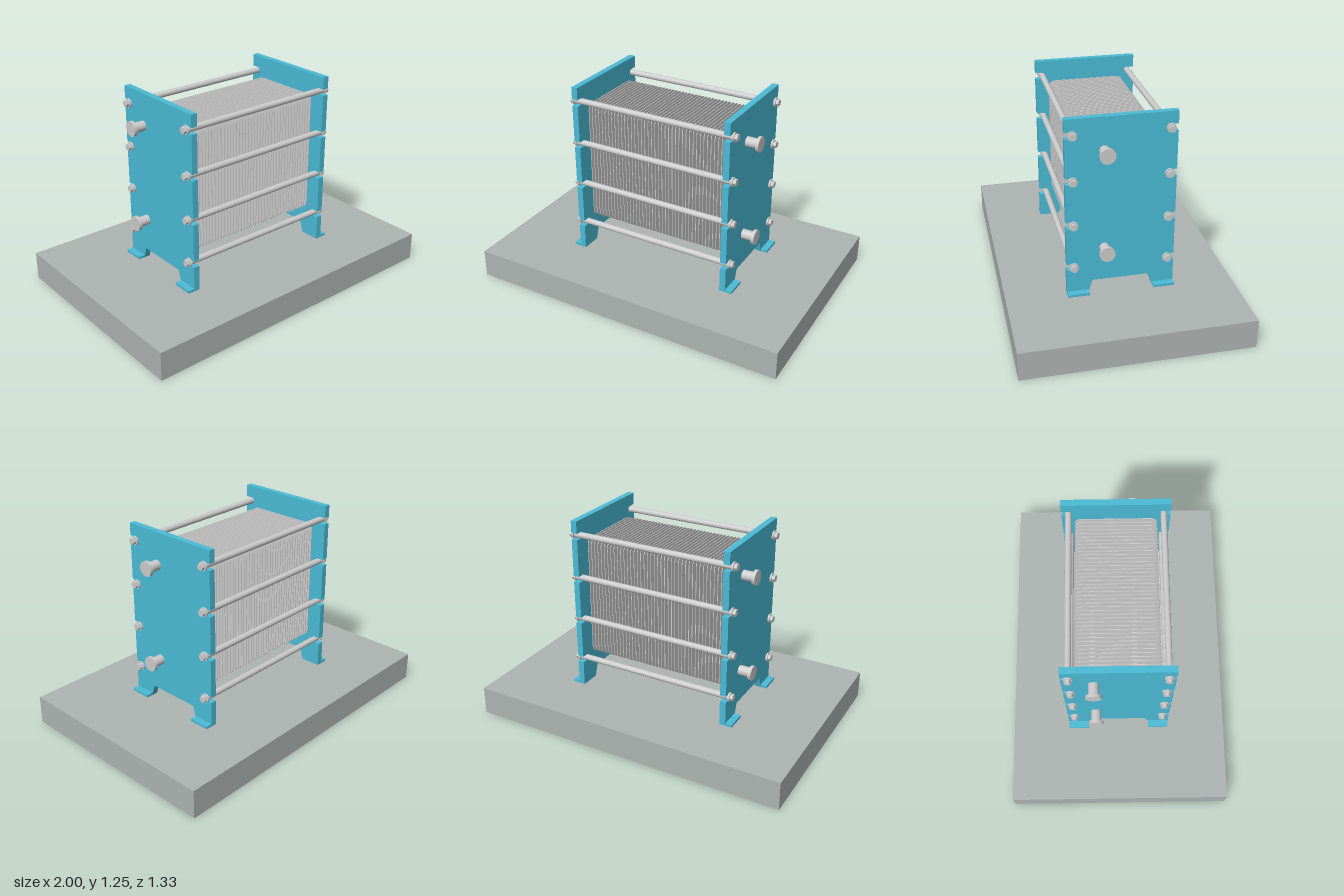
import * as THREE from 'three';

const steel = new THREE.MeshStandardMaterial({ color: 0xcccccc });
const paint = new THREE.MeshStandardMaterial({ color: 0x4abbd6 });
const concrete = new THREE.MeshStandardMaterial({ color: 0xadb4b2 });

const BOLT_Y = [0.35, 0.62, 0.89, 1.16], BOLT_Z = 0.273;
const BASE_H = 0.175, HALF_W = 0.315, TOP = 1.255;
const INNER = 0.473, OUTER = 0.511;

function add(parent, name, geometry, material, x = 0, y = 0, z = 0) {
  const mesh = new THREE.Mesh(geometry, material);
  mesh.name = name;
  mesh.position.set(x, y, z);
  parent.add(mesh);
  return mesh;
}

// Cylinder along x from x0 to x1
function barX(parent, name, r, x0, x1, y, z, sides = 32) {
  const g = new THREE.CylinderGeometry(r, r, Math.abs(x1 - x0), sides).rotateZ(Math.PI / 2);
  return add(parent, name, g, steel, (x0 + x1) / 2, y, z);
}

// Shape drawn in (z, y), extruded along x and centred on x = 0
function slabX(shape, depth) {
  return new THREE.ExtrudeGeometry(shape, { depth, bevelEnabled: false, curveSegments: 10 })
    .translate(0, 0, -depth / 2).rotateY(Math.PI / 2);
}

// End plate outline: open bolt slots on both edges and a gap between the feet
function endPlateShape() {
  const s = new THREE.Shape(), r = 0.02;
  s.moveTo(0.19, BASE_H);
  s.lineTo(HALF_W, BASE_H);
  for (const y of BOLT_Y) {
    s.lineTo(HALF_W, y - r);
    s.lineTo(BOLT_Z, y - r);
    s.absarc(BOLT_Z, y, r, -Math.PI / 2, Math.PI / 2, true);
    s.lineTo(HALF_W, y + r);
  }
  s.lineTo(HALF_W, TOP);
  s.lineTo(-HALF_W, TOP);
  for (const y of [...BOLT_Y].reverse()) {
    s.lineTo(-HALF_W, y + r);
    s.lineTo(-BOLT_Z, y + r);
    s.absarc(-BOLT_Z, y, r, Math.PI / 2, -Math.PI / 2, true);
    s.lineTo(-HALF_W, y - r);
  }
  s.lineTo(-HALF_W, BASE_H);
  s.lineTo(-0.19, BASE_H);
  s.lineTo(-0.165, 0.25);
  s.lineTo(0.165, 0.25);
  s.closePath();
  return s;
}

// Rounded rectangle of one thin exchanger plate
function thinPlateShape() {
  const w = 0.238, y0 = 0.375, y1 = 1.132, r = 0.04, s = new THREE.Shape();
  s.absarc(w - r, y0 + r, r, -Math.PI / 2, 0);
  s.absarc(w - r, y1 - r, r, 0, Math.PI / 2);
  s.absarc(-w + r, y1 - r, r, Math.PI / 2, Math.PI);
  s.absarc(-w + r, y0 + r, r, Math.PI, Math.PI * 1.5);
  s.closePath();
  return s;
}

export function createModel() {
  const model = new THREE.Group();
  model.name = 'plateHeatExchanger';
  add(model, 'base', new THREE.BoxGeometry(2, BASE_H, 1.334), concrete, 0, BASE_H / 2, 0);

  const unit = new THREE.Group();
  unit.name = 'exchanger';
  unit.position.set(0.003, 0, -0.003);
  model.add(unit);

  // End plates with outward feet
  const endGeo = slabX(endPlateShape(), OUTER - INNER);
  const footGeo = new THREE.BoxGeometry(0.041, 0.016, 0.125);
  for (const side of [-1, 1]) {
    add(unit, 'endPlate', endGeo, paint, side * (INNER + OUTER) / 2);
    for (const z of [-0.2525, 0.2525])
      add(unit, 'foot', footGeo, paint, side * (OUTER + 0.0205), BASE_H + 0.008, z);
  }

  // Stack of thin plates
  const plateGeo = slabX(thinPlateShape(), 0.004);
  for (let i = 0; i < 41; i++)
    add(unit, 'thinPlate', plateGeo, steel, -0.45 + i * 0.0225);

  // Tie rods with washers and hex nuts
  for (const y of BOLT_Y) for (const z of [-BOLT_Z, BOLT_Z]) {
    barX(unit, 'tieRod', 0.0185, -0.52, 0.52, y, z, 24);
    for (const side of [-1, 1]) {
      barX(unit, 'washer', 0.027, side * OUTER, side * 0.522, y, z);
      const nut = barX(unit, 'nut', 0.021, side * 0.522, side * 0.541, y, z, 6);
      nut.material = nutMaterial;
    }
  }

  // Pipes: one pair leaves on each side
  for (const [side, z] of [[1, 0.096], [-1, -0.137]]) for (const y of [0.46, 1.06]) {
    barX(unit, 'pipe', 0.03, -side * INNER, side * 0.585, y, z);
    barX(unit, 'pipeFlange', 0.045, side * 0.579, side * 0.598, y, z);
  }
  return model;
}

const nutMaterial = new THREE.MeshStandardMaterial({ color: 0xcccccc, flatShading: true });
